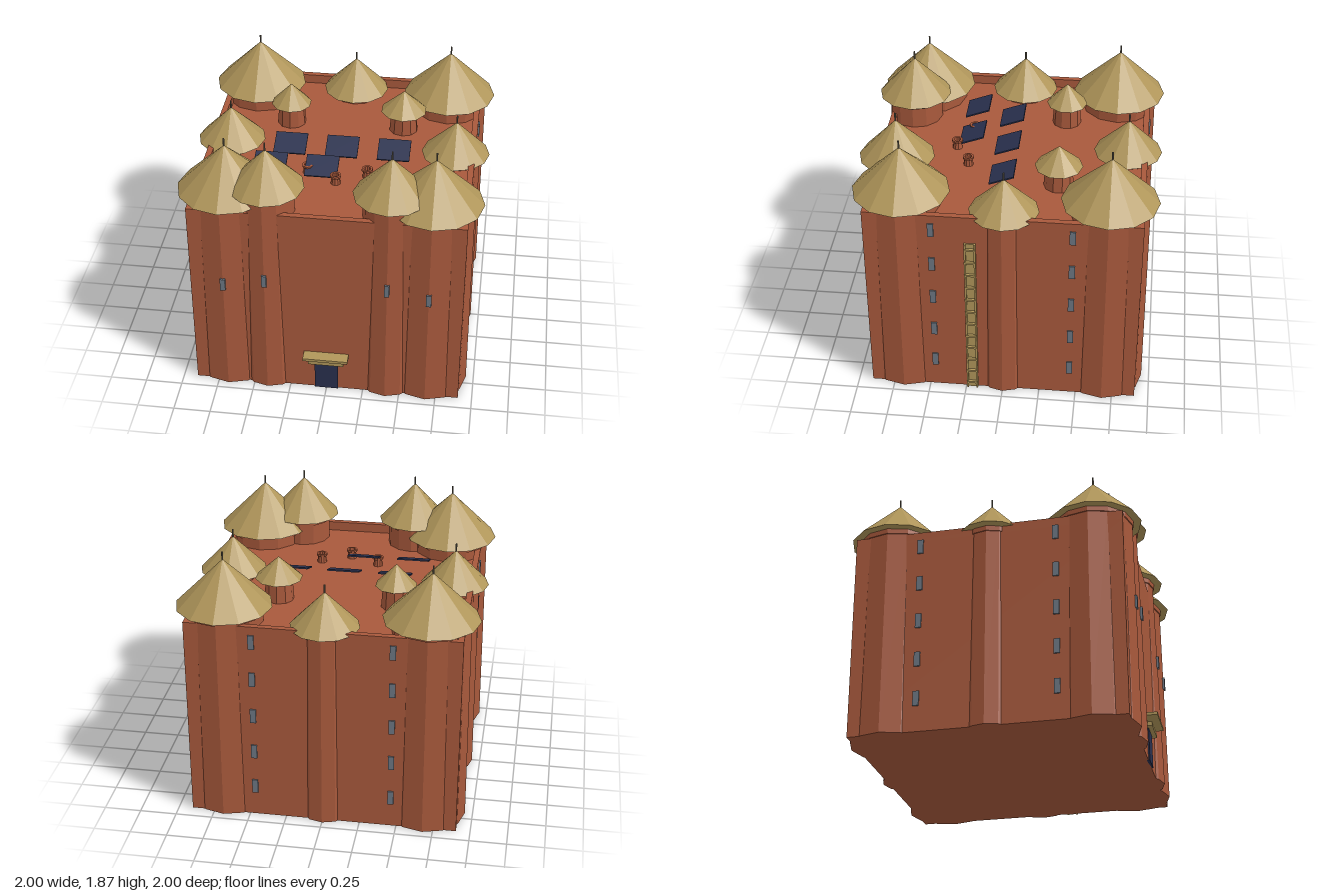
import * as THREE from 'three';

const mat = (name, color) => {
  const m = new THREE.MeshStandardMaterial({ color });
  m.name = name;
  m.flatShading = true;
  return m;
};

export function createModel() {
  const model = new THREE.Group();
  model.name = 'mudBrickCastle';
  const clay = mat('clay', 0xa8593c);
  const thatch = mat('thatch', 0xb0965a);
  const navy = mat('navy', 0x29304e);
  const glass = mat('windowGrey', 0x6c7783);
  const pole = mat('poleGrey', 0x6a6455);

  const add = (name, geo, material, x, y, z, parent = model) => {
    const m = new THREE.Mesh(geo, material);
    m.name = name;
    m.position.set(x, y, z);
    parent.add(m);
    return m;
  };
  const box = (name, w, h, d, material, x, y, z, parent) =>
    add(name, new THREE.BoxGeometry(w, h, d), material, x, y, z, parent);

  // Main block with a sunken flat roof behind a parapet
  const W = 0.905, FLOOR = 1.365, WALL = 1.43, T = 0.04;
  box('mainBlock', 2 * W, FLOOR, 2 * W, clay, 0, FLOOR / 2, 0);
  const h = WALL - FLOOR, py = FLOOR + h / 2;
  for (const s of [-1, 1]) {
    box('parapet', 2 * W, h, T, clay, 0, py, s * (W - T / 2));
    box('parapet', T, h, 2 * (W - T), clay, s * (W - T / 2), py, 0);
  }

  // Tapered tower with a rim, a thatched cone and an optional pole
  const tower = (name, x, z, o) => {
    const g = new THREE.Group();
    g.name = name;
    g.position.set(x, 0, z);
    model.add(g);
    const n = o.sides ?? 12, bottom = o.bottom ?? 0;
    const shaft = new THREE.CylinderGeometry(o.r1, o.r0, o.eave - bottom, n);
    add('shaft', shaft, clay, 0, (o.eave + bottom) / 2, 0, g);
    add('rim', new THREE.CylinderGeometry(o.rim, o.rim, o.rimH, n), clay, 0, o.eave - o.rimH / 2 - 0.002, 0, g);
    add('thatchedRoof', new THREE.ConeGeometry(o.roof, o.apex - o.eave, n), thatch, 0, (o.apex + o.eave) / 2, 0, g);
    if (o.tip) {
      add('roofPole', new THREE.CylinderGeometry(0.006, 0.006, o.tip - o.apex + 0.03, 6), pole, 0, (o.tip + o.apex - 0.03) / 2, 0, g);
    }
  };
  const corner = { r0: 0.268, r1: 0.258, rim: 0.266, rimH: 0.035, eave: 1.47, roof: 0.32, apex: 1.79, tip: 1.84 };
  const front = { r0: 0.205, r1: 0.182, rim: 0.192, rimH: 0.035, eave: 1.55, roof: 0.25, apex: 1.82, tip: 1.87 };
  const side = { r0: 0.174, r1: 0.165, rim: 0.172, rimH: 0.035, eave: 1.41, roof: 0.23, apex: 1.65, tip: 1.7 };
  const small = { r0: 0.1, r1: 0.09, rim: 0.1, rimH: 0.02, bottom: FLOOR, eave: 1.52, apex: 1.67, sides: 10 };
  for (const s of [-1, 1]) {
    tower('backCornerTower', s * 0.68, -0.68, corner);
    tower('frontCornerTower', s * 0.68, 0.68, corner);
    tower('gateTower', s * 0.405, 0.745, front);
    tower('sideTower', s * 0.77, 0, side);
  }
  tower('backTower', 0, -0.77, side);
  tower('roofTurret', -0.405, -0.325, { ...small, roof: 0.14 });
  tower('roofTurret', 0.385, -0.325, { ...small, roof: 0.16 });

  // Windows: five rows on the sides and back, one on each front tower
  for (let i = 0; i < 5; i++) {
    const y = 0.225 + i * 0.274;
    for (const z of [0.46, -0.455]) {
      for (const s of [-1, 1]) box('sideWindow', 0.02, 0.1, 0.04, glass, s * W, y, z);
    }
    for (const s of [-1, 1]) box('backWindow', 0.04, 0.1, 0.02, glass, s * 0.46, y, -W);
  }
  for (const s of [-1, 1]) {
    box('cornerTowerWindow', 0.035, 0.09, 0.025, glass, s * 0.68, 0.865, 0.94);
    box('gateTowerWindow', 0.032, 0.09, 0.025, glass, s * 0.405, 0.915, 0.936);
  }

  // Door, lintel and canopy
  box('door', 0.16, 0.228, 0.02, navy, 0, 0.114, W);
  box('lintel', 0.24, 0.027, 0.05, thatch, 0, 0.242, W + 0.015);
  box('canopy', 0.305, 0.02, 0.09, thatch, 0, 0.3, W + 0.037);

  // Ladder on the left wall
  const ladder = new THREE.Group();
  ladder.name = 'ladder';
  ladder.position.set(W, 0, 0.207);
  model.add(ladder);
  box('ladderBack', 0.008, 1.23, 0.07, thatch, 0.006, 0.615, 0, ladder);
  for (const s of [-1, 1]) box('ladderRail', 0.022, 1.23, 0.012, thatch, 0.011, 0.615, s * 0.032, ladder);
  for (let i = 0; i < 12; i++) box('rung', 0.028, 0.014, 0.076, thatch, 0.014, 0.05 + i * 0.1035, 0, ladder);

  // Tilted roof panels
  for (const [x, z] of [[-0.355, 0.05], [0, 0.05], [0.355, 0.05], [-0.455, 0.303], [-0.105, 0.303]]) {
    box('roofPanel', 0.22, 0.01, 0.176, navy, x, 1.425, z).rotation.x = 0.36;
  }

  // Open chimney pots
  const pot = [[0.022, 0], [0.034, 0], [0.028, 0.045], [0.038, 0.05], [0.038, 0.065], [0.024, 0.065], [0.022, 0.01], [0, 0.01]]
    .map(([r, y]) => new THREE.Vector2(r, y));
  for (const [x, z] of [[-0.2, 0.3], [0, 0.4], [0.2, 0.3]]) {
    add('chimneyPot', new THREE.LatheGeometry(pot, 10), clay, x, FLOOR, z);
  }
  return model;
}
